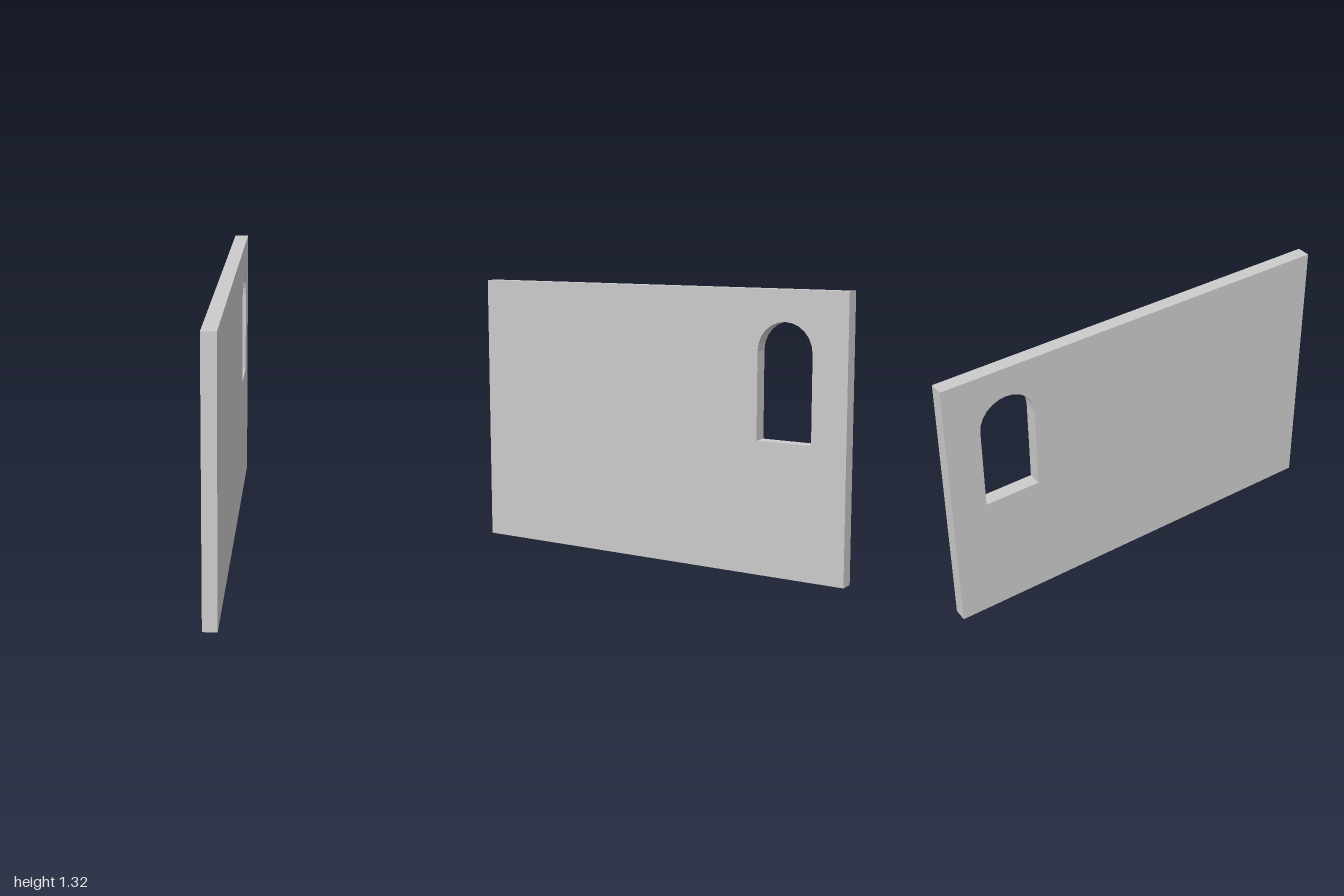
import * as THREE from 'three';

const LENGTH = 2, HEIGHT = 1.315, THICKNESS = 0.067;
const WINDOW = { centre: 0.692, radius: 0.137, sill: 0.626, spring: 1.034 };

// Round-headed window opening
function archedOpening({ centre, radius, sill, spring }) {
  const path = new THREE.Path();
  path.moveTo(centre - radius, sill);
  path.lineTo(centre + radius, sill);
  path.lineTo(centre + radius, spring);
  path.absarc(centre, spring, radius, 0, Math.PI, false);
  path.closePath();
  return path;
}

export function createModel() {
  const group = new THREE.Group();
  group.name = 'wallWithWindow';

  // Wall outline, drawn along its length and pierced by the window
  const outline = new THREE.Shape();
  outline.moveTo(-LENGTH / 2, 0);
  outline.lineTo(LENGTH / 2, 0);
  outline.lineTo(LENGTH / 2, HEIGHT);
  outline.lineTo(-LENGTH / 2, HEIGHT);
  outline.closePath();
  outline.holes.push(archedOpening(WINDOW));

  // Extrude the thickness, then turn the wall so its length runs along z
  const geometry = new THREE.ExtrudeGeometry(outline, {
    depth: THICKNESS, bevelEnabled: false, curveSegments: 6,
  });
  geometry.translate(0, 0, -THICKNESS / 2);
  geometry.rotateY(Math.PI / 2);

  const wall = new THREE.Mesh(
    geometry,
    new THREE.MeshStandardMaterial({ color: 0xcccccc, flatShading: true }),
  );
  wall.name = 'wall';
  group.add(wall);
  return group;
}
